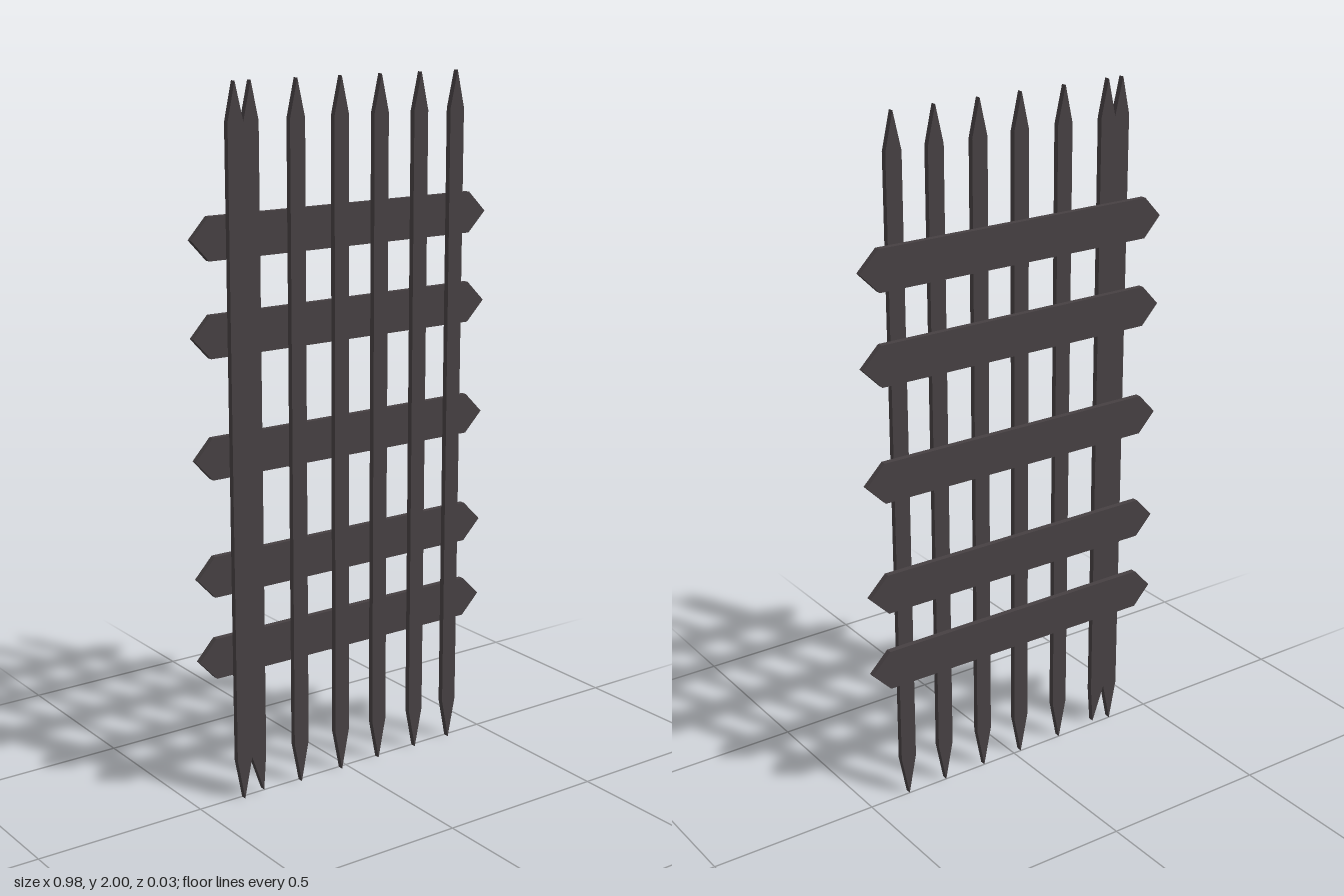
import * as THREE from 'three';

const DEPTH = 0.017;

// Flat plank cut from an outline of [x, y] points, starting at depth z
function plank(name, points, z, material) {
  const shape = new THREE.Shape(points.map(([x, y]) => new THREE.Vector2(x, y)));
  const geometry = new THREE.ExtrudeGeometry(shape, { depth: DEPTH, bevelEnabled: false });
  const mesh = new THREE.Mesh(geometry, material);
  mesh.name = name;
  mesh.position.z = z;
  return mesh;
}

export function createModel() {
  const model = new THREE.Group();
  model.name = 'lattice';
  const iron = new THREE.MeshStandardMaterial({ color: 0x464042 });
  iron.name = 'dark iron';

  // Upright bars, pointed at both ends, in front of the rails
  const w = 0.024, low = 0.12, high = 1.895;
  for (const x of [-0.168, -0.025, 0.108, 0.244, 0.371]) {
    model.add(plank('uprightBar', [
      [x - w, low], [x, 0], [x + w, low],
      [x + w, high], [x, 2], [x - w, high],
    ], 0, iron));
  }

  // Wide upright with two points at each end
  model.add(plank('doubleUprightBar', [
    [-0.385, low], [-0.362, 0], [-0.337, low], [-0.298, 0.01], [-0.29, low],
    [-0.29, high], [-0.313, 2], [-0.337, high], [-0.362, 2], [-0.385, high],
  ], 0, iron));

  // Cross rails with pointed ends, behind the bars
  const h = 0.0585;
  for (const y of [0.434, 0.671, 1.004, 1.337, 1.597]) {
    model.add(plank('crossRail', [
      [-0.491, y], [-0.437, y - h], [0.433, y - h],
      [0.491, y], [0.433, y + h], [-0.437, y + h],
    ], -DEPTH, iron));
  }

  return model;
}
